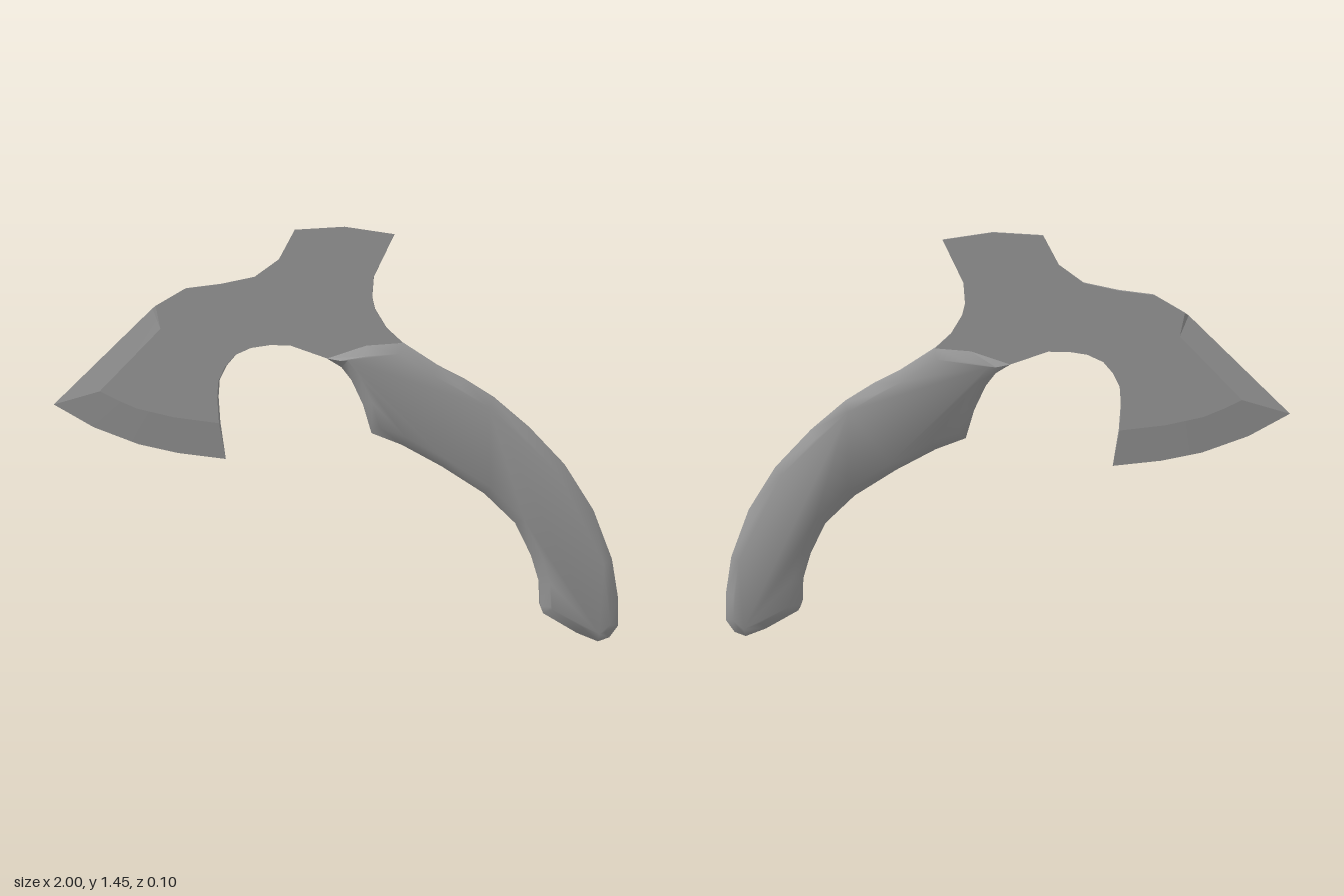
import * as THREE from 'three';
import { toCreasedNormals } from 'three/addons/utils/BufferGeometryUtils.js';

const T = 0.017; // half thickness of the steel plate

// bevel: line where grinding starts, and the sharp line it runs out to
const grind = [[-0.61, 1.1], [-0.83, 0.88], [-0.77, 0.85], [-0.7, 0.82], [-0.57, 0.79], [-0.41, 0.77]];
const sharp = [[-0.64, 1.17], [-1, 0.83], [-0.86, 0.75], [-0.7, 0.69], [-0.56, 0.66], [-0.39, 0.64]];
const notch = [-0.625, 1.18]; // plate corner above the bevel

// rest of the plate, counter-clockwise: arch, hidden tang, rear hook, top
const plate = [
  [-0.415, 0.86], [-0.41, 0.92], [-0.385, 0.97], [-0.35, 1.01], [-0.295, 1.035], [-0.23, 1.045],
  [-0.16, 1.045], [-0.03, 1], [0.12, 0.95], [0.23, 1.055], [0.175, 1.105], [0.135, 1.17],
  [0.125, 1.21], [0.13, 1.28], [0.2, 1.425], [0.03, 1.45], [-0.14, 1.44], [-0.195, 1.34],
  [-0.28, 1.28], [-0.4, 1.255], [-0.52, 1.24], notch,
];

const grip = [
  [-0.03, 1], [0.02, 0.97], [0.055, 0.925], [0.095, 0.84], [0.125, 0.74], [0.23, 0.7],
  [0.37, 0.625], [0.52, 0.53], [0.63, 0.425], [0.69, 0.305], [0.72, 0.21], [0.725, 0.125],
  [0.735, 0.1], [0.855, 0.03], [0.93, 0], [0.97, 0.015], [1, 0.06], [0.995, 0.165],
  [0.97, 0.3], [0.9, 0.475], [0.8, 0.63], [0.675, 0.76], [0.55, 0.865], [0.445, 0.93],
  [0.355, 0.975], [0.23, 1.055], [0.105, 1.045],
];

const material = new THREE.MeshStandardMaterial({ color: 0x999999 });

function part(name, geometry, crease) {
  const mesh = new THREE.Mesh(toCreasedNormals(geometry, crease), material);
  mesh.name = name;
  return mesh;
}

// extrudes an outline centred on z = 0
function slab(points, half, bevel = { bevelEnabled: false }) {
  const shape = new THREE.Shape(points.map(([x, y]) => new THREE.Vector2(x, y)));
  return new THREE.ExtrudeGeometry(shape, { depth: 2 * half, ...bevel }).translate(0, 0, -half);
}

// wedge from the plate faces down to the sharp line, on both sides
function wedge() {
  const pos = [];
  const tri = (...corners) => corners.forEach(([p, z]) => pos.push(p[0], p[1], z));
  const last = grind.length - 1;
  for (let i = 0; i < last; i++) {
    const a = [sharp[i], 0], b = [sharp[i + 1], 0];
    const g = grind[i], h = grind[i + 1];
    tri(a, b, [h, T]);
    tri(a, [h, T], [g, T]);
    tri(b, a, [h, -T]);
    tri([h, -T], a, [g, -T]);
  }
  // closed heel
  tri([grind[last], T], [sharp[last], 0], [grind[last], -T]);
  // small facets joining the sharp line to the notch corner
  tri([grind[0], T], [notch, T], [sharp[0], 0]);
  tri([notch, -T], [grind[0], -T], [sharp[0], 0]);
  tri([notch, T], [notch, -T], [sharp[0], 0]);
  const geometry = new THREE.BufferGeometry();
  geometry.setAttribute('position', new THREE.Float32BufferAttribute(pos, 3));
  return geometry;
}

export function createModel() {
  const group = new THREE.Group();
  group.name = 'hatchet';
  group.add(part('headPlate', slab([...grind, ...plate], T), 0.6));
  group.add(part('cuttingEdge', wedge(), 0.15));
  // grip whose chamfer blends smoothly into its flat sides but meets the rim at a crisp line
  group.add(part('handle', slab(grip, 0.019, {
    bevelEnabled: true, bevelSegments: 1, bevelThickness: 0.031, bevelSize: 0.034, bevelOffset: -0.034,
  }), 0.79));
  return group;
}
